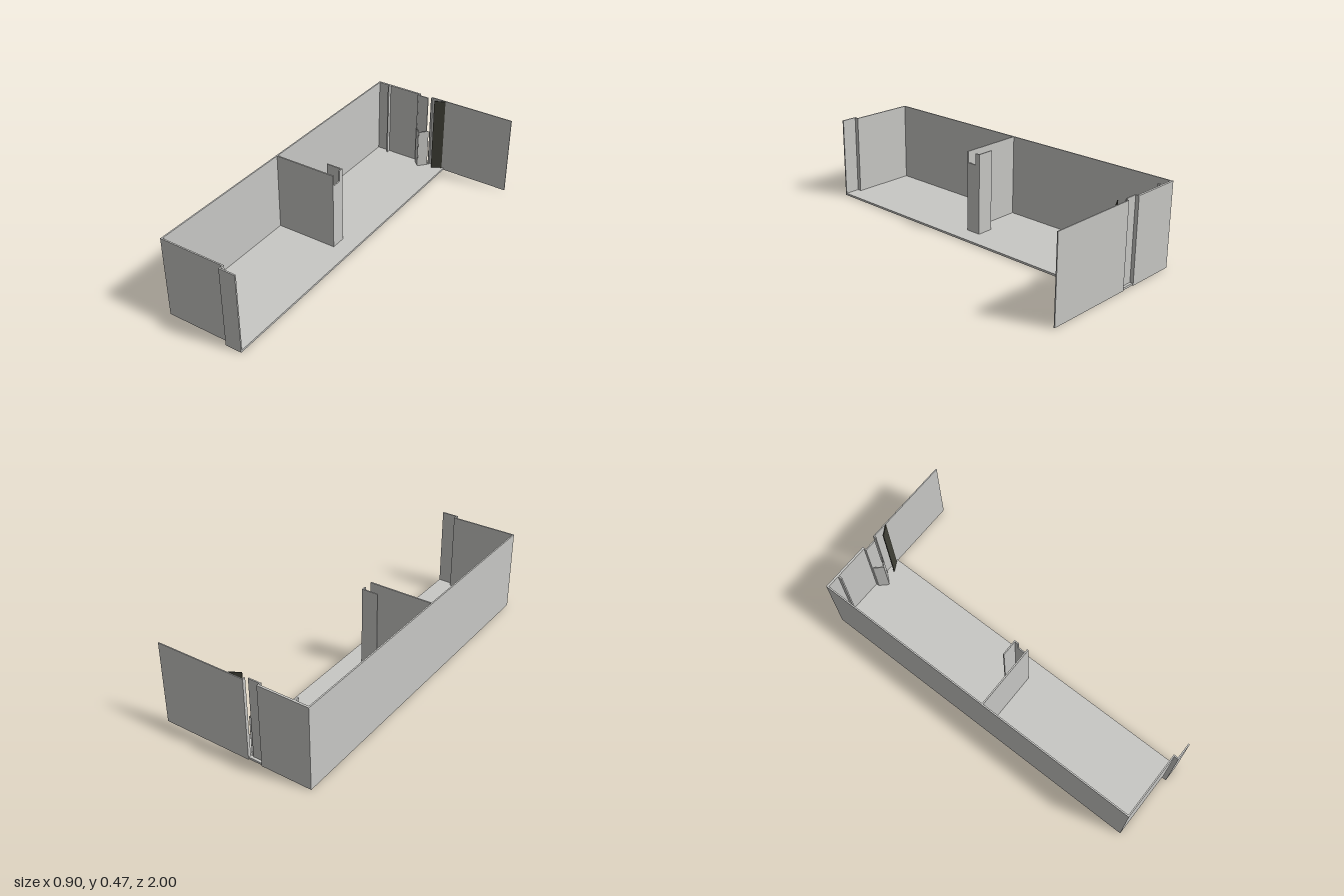
import * as THREE from 'three';

const H = 0.475; // wall height
const T = 0.008; // sheet thickness
const FLOOR = 0.012;

export function createModel() {
  const model = new THREE.Group();
  model.name = 'openWalledBay';
  const panel = new THREE.MeshStandardMaterial({ color: 0xc8c8c5 });
  panel.name = 'lightGrey';
  const dark = new THREE.MeshStandardMaterial({ color: 0x404037 });
  dark.name = 'darkOlive';

  // Box given by its limits
  function slab(name, x0, x1, z0, z1, y0 = 0, y1 = H, mat = panel) {
    const mesh = new THREE.Mesh(new THREE.BoxGeometry(x1 - x0, y1 - y0, z1 - z0), mat);
    mesh.position.set((x0 + x1) / 2, (y0 + y1) / 2, (z0 + z1) / 2);
    mesh.name = name;
    model.add(mesh);
    return mesh;
  }

  // Upright sheet between two plan points
  function sheet(name, [xa, za], [xb, zb], y0, y1, mat = panel, t = 0.005) {
    const length = Math.hypot(xb - xa, zb - za);
    const mesh = slab(name, -length / 2, length / 2, -t / 2, t / 2, y0, y1, mat);
    mesh.position.x = (xa + xb) / 2;
    mesh.position.z = (za + zb) / 2;
    mesh.rotation.y = -Math.atan2(zb - za, xb - xa);
    return mesh;
  }

  // Floor with a stepped front edge
  slab('floor', -0.45, 0.03, -0.995, 0.97, 0, FLOOR);
  slab('floorStep', -0.066, 0.03, 0.97, 0.995, 0, FLOOR);

  // Long side wall
  slab('sideWall', -0.45, -0.45 + T, -1, 0.975);

  // Front wall with its jog
  slab('frontWall', -0.45 + T, -0.06, 0.975 - T, 0.975);
  slab('frontJog', -0.067, -0.06, 0.975, 0.992);
  slab('frontReturn', -0.067, 0.03, 0.992, 1);

  // Middle partition, end post and return; the post is notched at the top
  slab('partition', -0.45 + T, -0.073, 0.052, 0.06);
  slab('partitionEndLow', -0.08, -0.073, -0.002, 0.052, FLOOR, 0.41);
  slab('partitionEndTall', -0.08, -0.073, -0.03, -0.002, FLOOR);
  slab('partitionReturn', -0.17, -0.08, -0.03, -0.023, FLOOR);

  // Back wall, its small rib and the recessed strip
  slab('backWall', -0.45 + T, -0.157, -1, -0.988);
  slab('backRib', -0.37, -0.362, -0.988, -0.965, FLOOR);
  slab('recessCheek', -0.163, -0.157, -0.988, -0.972);
  slab('recessPanel', -0.157, -0.091, -0.98, -0.973);

  // Half-height folded post behind the gap
  sheet('foldedPostRight', [-0.16, -0.972], [-0.12, -0.93], FLOOR, 0.25);
  sheet('foldedPostLeft', [-0.12, -0.93], [-0.079, -0.977], FLOOR, 0.25);

  // Long back panel reaching past the floor, with a dark slanted strip
  slab('backPanel', -0.07, 0.45, -1, -0.994);
  slab('backPanelLip', -0.076, -0.07, -1, -0.982);
  sheet('slantedStrip', [-0.04, -0.96], [0.018, -0.992], FLOOR, H, dark);

  return model;
}
